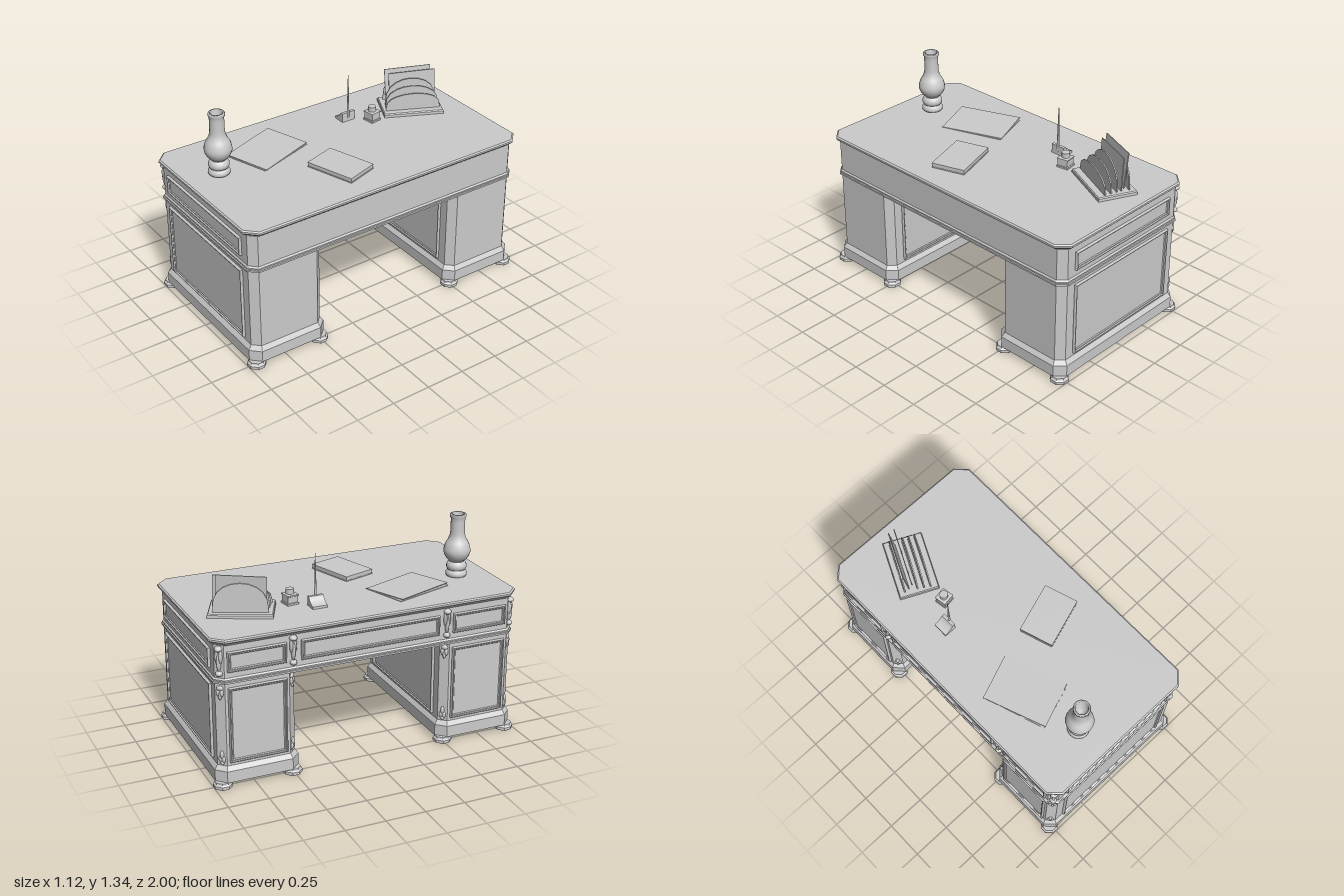
import * as THREE from 'three';

const mat = new THREE.MeshStandardMaterial({ color: 0xcccccc, side: THREE.DoubleSide });
const TOP = 0.935;

function add(parent, name, geo, x = 0, y = 0, z = 0, ry = 0) {
  const m = new THREE.Mesh(geo, mat);
  m.name = name;
  m.position.set(x, y, z);
  m.rotation.y = ry;
  parent.add(m);
  return m;
}

// Rectangle (c = 0) or corner-cut rectangle, grown outward by o
function ring(a, b, c, o) {
  a += o; b += o;
  if (!c) return [[a, -b], [a, b], [-a, b], [-a, -b]];
  c += o * 0.586;
  return [[a, c - b], [a, b - c], [a - c, b], [c - a, b],
    [-a, b - c], [-a, c - b], [c - a, -b], [a - c, -b]];
}

// Stacks rings along y; profile holds [height, outward offset]
function loft(a, b, c, profile) {
  const rings = profile.map(([y, o]) => ring(a, b, c, o).map(([x, z]) => [x, y, -z]));
  const pos = [], n = rings[0].length;
  const tri = (p, q, r) => pos.push(...p, ...q, ...r);
  for (let k = 0; k < rings.length - 1; k++) {
    const lo = rings[k], hi = rings[k + 1];
    for (let i = 0; i < n; i++) {
      const j = (i + 1) % n;
      tri(lo[i], lo[j], hi[j]);
      tri(lo[i], hi[j], hi[i]);
    }
  }
  const first = rings[0], last = rings[rings.length - 1];
  for (let i = 1; i < n - 1; i++) {
    tri(last[0], last[i], last[i + 1]);
    tri(first[0], first[i + 1], first[i]);
  }
  const g = new THREE.BufferGeometry();
  g.setAttribute('position', new THREE.Float32BufferAttribute(pos, 3));
  g.computeVertexNormals();
  return g;
}

// Moulded panel with a raised frame, turned to face ry
function panel(parent, name, w, h, x, y, z, ry) {
  const g = loft(w / 2, h / 2, 0, [[-0.005, 0], [0.01, 0], [0.016, -0.004], [0.016, -0.009],
    [0.008, -0.012], [0.008, -0.017], [0.003, -0.022]]);
  g.rotateX(Math.PI / 2);
  add(parent, name, g, x, y, z, ry);
}

// Carved ornament made of flattened beads: [x, y, rx, ry, rz]
function ornament(parent, name, beads, x, z, ry) {
  const g = new THREE.Group();
  g.name = name;
  g.position.set(x, 0, z);
  g.rotation.y = ry;
  for (const [bx, by, rx, rY, rz] of beads) {
    add(g, 'carving', new THREE.SphereGeometry(1, 12, 8), bx, by, 0).scale.set(rx, rY, rz);
  }
  parent.add(g);
}

const SCROLL = [[0, 0.872, 0.024, 0.018, 0.03], [-0.012, 0.825, 0.011, 0.045, 0.02], [0.012, 0.825, 0.011, 0.045, 0.02],
  [0, 0.79, 0.013, 0.06, 0.022], [0, 0.72, 0.022, 0.018, 0.026]];
const LEAF = [[0, 0.628, 0.022, 0.016, 0.012], [-0.012, 0.6, 0.012, 0.025, 0.012],
  [0.012, 0.6, 0.012, 0.025, 0.012], [0, 0.58, 0.01, 0.025, 0.014]];
const DROP = [[0, 0.205, 0.012, 0.026, 0.014], [-0.01, 0.175, 0.012, 0.02, 0.011],
  [0.01, 0.175, 0.012, 0.02, 0.011], [0, 0.153, 0.015, 0.011, 0.01]];

function buildDesk(desk) {
  add(desk, 'deskTop', loft(0.525, 0.965, 0.055, [[0.892, 0], [0.9, 0.006], [0.912, 0.024], [0.917, 0.028],
    [0.928, 0.028], [TOP, 0.019]]));
  add(desk, 'frieze', loft(0.525, 0.965, 0.045, [[0.68, 0], [0.895, 0]]));
  add(desk, 'waistMoulding', loft(0.525, 0.965, 0.045, [[0.655, 0.004], [0.66, 0.014], [0.671, 0.014],
    [0.674, 0.008], [0.682, 0.008], [0.692, 0]]));
  panel(desk, 'centreDrawer', 0.9, 0.125, -0.525, 0.79, 0, -Math.PI / 2);

  for (const s of [1, -1]) {
    const ped = new THREE.Group();
    ped.name = s > 0 ? 'frontPedestal' : 'backPedestal';
    desk.add(ped);
    const zc = s * 0.7225, out = s > 0 ? 0 : Math.PI;
    add(ped, 'pedestalBody', loft(0.525, 0.2425, 0.045, [[0.035, 0.02], [0.108, 0.02], [0.128, 0.006],
      [0.136, 0], [0.66, 0]]), 0, 0, zc);
    // Panels on the outer end, the kneehole face and the drawer side
    panel(ped, 'endPanel', 0.84, 0.475, 0, 0.393, s * 0.965, out);
    panel(ped, 'kneeholePanel', 0.84, 0.475, 0, 0.393, s * 0.48, out + Math.PI);
    panel(ped, 'friezeEndPanel', 0.84, 0.12, 0, 0.79, s * 0.965, out);
    panel(ped, 'door', 0.36, 0.475, -0.525, 0.393, zc, -Math.PI / 2);
    panel(ped, 'drawer', 0.36, 0.125, -0.525, 0.79, zc, -Math.PI / 2);
    // Carvings on the cut corners of the drawer side
    const outer = [-0.503, s * 0.943, -Math.PI / 2 + s * Math.PI / 4];
    const inner = [-0.503, s * 0.502, -Math.PI / 2 - s * Math.PI / 4];
    ornament(ped, 'cornerScroll', SCROLL, ...outer);
    ornament(ped, 'innerScroll', SCROLL, -0.525, s * 0.5, -Math.PI / 2);
    for (const at of [outer, inner]) {
      ornament(ped, 'cornerLeaf', LEAF, ...at);
      ornament(ped, 'cornerDrop', DROP, ...at);
    }
    for (const x of [-0.505, 0.505]) for (const z of [0.945, 0.505]) {
      add(ped, 'foot', loft(0.055, 0.055, 0.034, [[0, -0.002], [0.004, 0], [0.02, 0], [0.028, -0.008], [0.038, -0.01]]), x, 0, s * z);
    }
  }
}

function buildLamp(g) {
  const low = [[0, 0], [0.06, 0], [0.067, 0.01], [0.067, 0.025], [0.058, 0.038], [0.05, 0.042], [0.058, 0.047],
    [0.064, 0.06], [0.064, 0.075], [0.056, 0.09], [0.046, 0.097]];
  const bulb = new THREE.SplineCurve([[0.046, 0.1], [0.07, 0.125], [0.085, 0.165], [0.075, 0.21], [0.056, 0.245],
    [0.046, 0.285], [0.045, 0.38]].map(p => new THREE.Vector2(...p))).getPoints(20);
  const rim = [[0.05, 0.385], [0.051, 0.4], [0.048, 0.405], [0.037, 0.405], [0.036, 0.3], [0, 0.29]];
  const vec = a => a.map(p => new THREE.Vector2(...p));
  add(g, 'oilLamp', new THREE.LatheGeometry([...vec(low), ...bulb, ...vec(rim)], 20), -0.14, TOP, 0.77);
}

function buildLetterRack(g) {
  const rack = new THREE.Group();
  rack.name = 'letterRack';
  rack.position.set(-0.165, TOP, -0.675);
  rack.rotation.y = -0.44;
  g.add(rack);
  add(rack, 'rackBase', loft(0.125, 0.193, 0, [[0, 0], [0.018, 0], [0.025, -0.005]]));
  // Arched dividers, taller toward the letters
  for (const [x, h, w] of [[0.075, 0.11, 0.175], [0.035, 0.145, 0.17], [-0.005, 0.18, 0.165], [-0.085, 0.18, 0.165]]) {
    const s = new THREE.Shape();
    s.moveTo(-w, 0);
    for (let i = 0; i <= 10; i++) {
      const a = Math.PI * (1 - i / 10);
      s.lineTo(w * Math.cos(a), 0.02 + (h - 0.02) * Math.sin(a) ** 0.8);
    }
    s.lineTo(w, 0);
    const arch = new THREE.ExtrudeGeometry(s, { depth: 0.008, bevelEnabled: false });
    arch.rotateY(Math.PI / 2);
    add(rack, 'divider', arch, x - 0.004, 0.024, 0);
  }
  // Letters leaning between the dividers
  for (const [x, h, z, tilt] of [[-0.03, 0.21, -0.02, 0.06], [-0.055, 0.225, 0, 0.12]]) {
    const letter = new THREE.BoxGeometry(0.006, h, 0.3);
    letter.translate(0, h / 2, 0);
    add(rack, 'letter', letter, x, 0.025, z).rotation.set(0.04, 0, tilt);
  }
}

function buildDeskItems(g) {
  add(g, 'book', loft(0.163, 0.11, 0, [[0, 0], [0.005, 0], [0.005, -0.003], [0.026, -0.003],
    [0.026, 0], [0.031, 0]]), 0.22, TOP, 0.145, 0.312);
  // Folder with its cover slightly open
  const folder = new THREE.Group();
  folder.name = 'folder';
  folder.position.set(-0.21, TOP, 0.39);
  folder.rotation.y = 0.363;
  g.add(folder);
  add(folder, 'folderBack', new THREE.BoxGeometry(0.3, 0.004, 0.41), 0, 0.002, 0, -0.04);
  const cover = new THREE.BoxGeometry(0.3, 0.004, 0.41);
  cover.translate(-0.15, 0, 0);
  add(folder, 'folderCover', cover, 0.15, 0.006, 0).rotation.z = -0.03;

  // Inkwell
  const ink = new THREE.Group();
  ink.name = 'inkwell';
  ink.position.set(-0.165, TOP, -0.37);
  ink.rotation.y = 0.16;
  g.add(ink);
  add(ink, 'inkBottle', loft(0.04, 0.038, 0, [[0, 0], [0.01, 0], [0.014, -0.004], [0.052, -0.004],
    [0.055, 0], [0.062, 0], [0.065, -0.012]]));
  add(ink, 'inkCap', new THREE.CylinderGeometry(0.026, 0.026, 0.03, 12), 0, 0.08, 0);

  // Pen stand: sloped block with an upright pen
  const slope = new THREE.Shape();
  slope.moveTo(0, 0);
  slope.lineTo(0.08, 0);
  slope.lineTo(0.08, 0.06);
  slope.lineTo(0.06, 0.06);
  slope.quadraticCurveTo(0.045, 0.025, 0, 0.015);
  add(g, 'penStand', new THREE.ExtrudeGeometry(slope, { depth: 0.095, bevelEnabled: false }), -0.318, TOP, -0.287);
  add(g, 'pen', new THREE.CylinderGeometry(0.002, 0.009, 0.3, 8), -0.243, TOP + 0.17, -0.238);

  // Loose scrap of paper lying flat
  const scrap = new THREE.Shape();
  scrap.moveTo(0.19, 0.16);
  scrap.lineTo(0.25, 0.33);
  scrap.quadraticCurveTo(0.36, 0.2, 0.29, 0.12);
  const flat = new THREE.ShapeGeometry(scrap);
  flat.rotateX(-Math.PI / 2);
  add(g, 'paperScrap', flat, 0, TOP + 0.001, 0);
}

export function createModel() {
  const model = new THREE.Group();
  model.name = 'pedestalDesk';
  const desk = new THREE.Group();
  desk.name = 'desk';
  model.add(desk);
  buildDesk(desk);
  buildLamp(model);
  buildLetterRack(model);
  buildDeskItems(model);
  return model;
}
